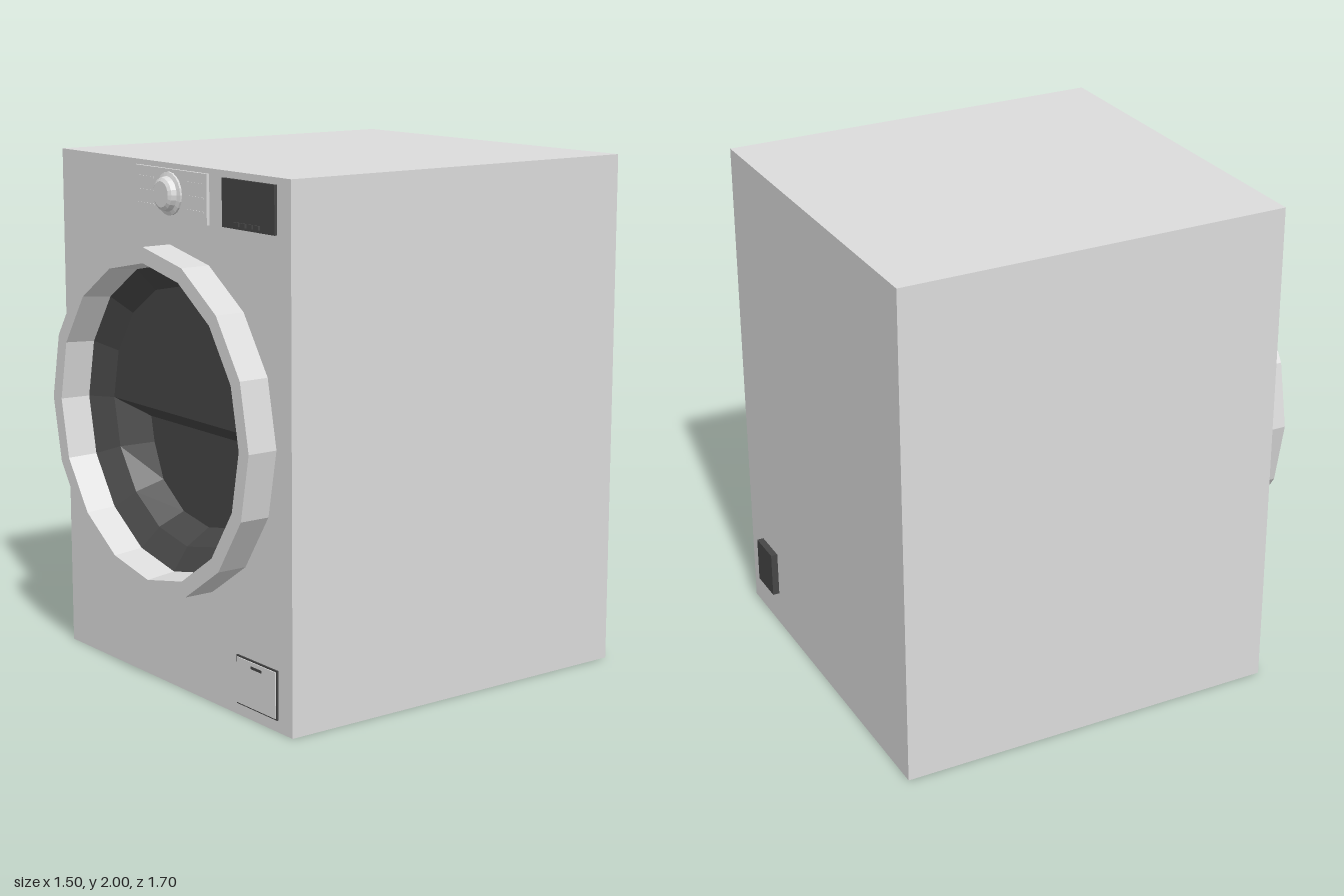
import * as THREE from 'three';

const white = new THREE.MeshStandardMaterial({ color: 0xdcdcdc });
white.name = 'white enamel';
const dark = new THREE.MeshStandardMaterial({ color: 0x464646 });
dark.name = 'dark plastic';
const FRONT = 0.73, BACK = -0.82, DOOR_Y = 1.04, SIDES = 16;

export function createModel() {
  const model = new THREE.Group();
  model.name = 'washingMachine';

  const add = (name, geometry, material, parent = model) => {
    const mesh = new THREE.Mesh(geometry, material);
    mesh.name = name;
    parent.add(mesh);
    return mesh;
  };
  // Box given by its limits on each axis
  const block = (name, x0, x1, y0, y1, z0, z1, material, parent) => {
    const mesh = add(name, new THREE.BoxGeometry(x1 - x0, y1 - y0, z1 - z0), material, parent);
    mesh.position.set((x0 + x1) / 2, (y0 + y1) / 2, (z0 + z1) / 2);
    return mesh;
  };
  // Faceted turned part, its axis along z; profile points are [radius, z]
  const turned = (profile, segments = SIDES, start = 0, sweep = Math.PI * 2) => {
    const points = profile.map(([r, z]) => new THREE.Vector2(r, z));
    const geometry = new THREE.LatheGeometry(points, segments, start, sweep).toNonIndexed();
    geometry.rotateX(Math.PI / 2);
    geometry.computeVertexNormals();
    return geometry;
  };

  // Cabinet with a round opening in the front panel
  block('cabinet', -0.75, 0.75, 0, 2, BACK, 0.5, white);
  const panel = new THREE.Shape([[-0.75, 0], [0.75, 0], [0.75, 2], [-0.75, 2]]
    .map(([x, y]) => new THREE.Vector2(x, y)));
  const hole = [];
  for (let i = 0; i < SIDES; i++) {
    const a = -i * Math.PI * 2 / SIDES;
    hole.push(new THREE.Vector2(0.587 * Math.cos(a), DOOR_Y + 0.587 * Math.sin(a)));
  }
  panel.holes.push(new THREE.Path(hole));
  const panelGeometry = new THREE.ExtrudeGeometry(panel, { depth: FRONT - 0.5, bevelEnabled: false });
  add('frontPanel', panelGeometry, white).position.z = 0.5;

  // Door: raised ring, sloping dark bezel, flat upper glass
  const door = new THREE.Group();
  door.name = 'door';
  door.position.y = DOOR_Y;
  model.add(door);
  add('doorRing', turned([[0.66, FRONT], [0.66, 0.85], [0.6, 0.85], [0.587, FRONT]]), white, door);
  add('doorBezel', turned([[0.589, 0.733], [0.5, 0.67]]), dark, door);
  add('upperGlass', new THREE.CircleGeometry(0.5, SIDES / 2, 0, Math.PI), dark, door).position.z = 0.67;

  // Bowl sunk into the lower half of the door
  const half = [[-0.39, -0.07], [-0.37, -0.17], [-0.31, -0.31], [-0.17, -0.41], [0, -0.44]];
  const floor = [...half, ...half.slice(0, 4).reverse().map(([x, y]) => [-x, y])];
  const rim = floor.map((_, i) => {
    const a = Math.PI * (1 + i / 8);
    return [0.5 * Math.cos(a), 0.5 * Math.sin(a)];
  });
  const walls = [];
  rim.forEach((p, i) => {
    const j = (i + 1) % rim.length;
    const a = [...p, 0.67], b = [...rim[j], 0.67], c = [...floor[j], 0.57], d = [...floor[i], 0.57];
    walls.push(...a, ...b, ...c, ...a, ...c, ...d);
  });
  const wallGeometry = new THREE.BufferGeometry();
  wallGeometry.setAttribute('position', new THREE.Float32BufferAttribute(walls, 3));
  wallGeometry.computeVertexNormals();
  add('bowlWalls', wallGeometry, dark, door);
  const floorShape = new THREE.Shape(floor.map(([x, y]) => new THREE.Vector2(x, y)));
  add('bowlFloor', new THREE.ShapeGeometry(floorShape), dark, door).position.z = 0.57;

  // Grip ridge on the model's left side of the bezel
  const gripProfile = [[0.58, 0.725], [0.555, 0.72], [0.53, 0.745], [0.515, 0.74], [0.495, 0.665]];
  add('doorGrip', turned(gripProfile, 2, Math.PI / 2 - 0.37, 0.74), dark, door);

  // Control panel with programme marks and knob
  block('controlPanel', -0.215, 0.26, 1.795, 1.98, FRONT, 0.742, white);
  for (const y of [1.84, 1.89, 1.94]) {
    block('programmeMark', -0.19, -0.08, y - 0.003, y + 0.003, 0.742, 0.744, white);
    block('programmeMark', 0.13, 0.24, y - 0.003, y + 0.003, 0.742, 0.744, white);
  }
  const knobProfile = [[0.08, 0.74], [0.08, 0.75], [0.065, 0.755], [0.06, 0.775], [0.048, 0.783], [0, 0.783]];
  add('knob', turned(knobProfile, 20), white).position.set(0.023, 1.89, 0);

  // Display with a row of buttons
  block('display', 0.355, 0.67, 1.8, 1.975, FRONT, 0.742, dark);
  for (const x of [0.45, 0.49, 0.53, 0.57]) {
    block('displayButton', x - 0.015, x + 0.015, 1.81, 1.825, 0.742, 0.75, dark);
  }

  // Filter flap with dark gap and finger slot
  block('flapGap', 0.415, 0.665, 0.045, 0.232, FRONT, 0.736, dark);
  block('filterFlap', 0.421, 0.659, 0.051, 0.226, FRONT, 0.74, white);
  block('flapSlot', 0.51, 0.575, 0.201, 0.211, 0.735, 0.742, dark);

  // Connection box on the back
  block('rearConnector', 0.483, 0.633, 0.145, 0.33, -0.847, BACK, dark);

  return model;
}
